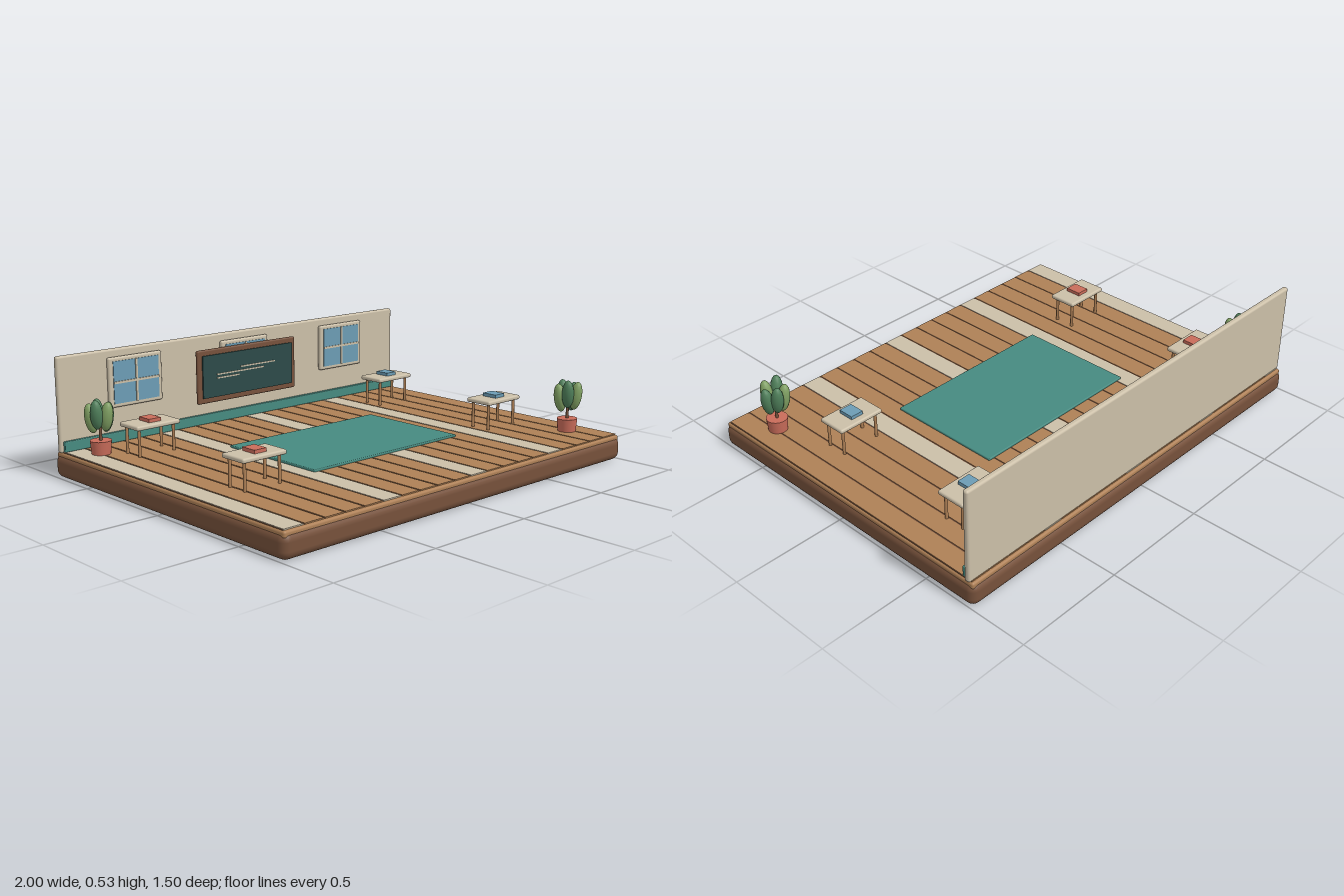
import * as THREE from 'three';
import { RoundedBoxGeometry } from 'three/addons/geometries/RoundedBoxGeometry.js';

const mat = (name, color) => {
  const m = new THREE.MeshStandardMaterial({ color });
  m.name = name;
  return m;
};

export function createModel() {
  const M = {
    base: mat('dark wood', 0x76513b),
    wood: mat('warm wood', 0xae8056),
    cream: mat('cream', 0xcbbfa8),
    teal: mat('teal', 0x468a80),
    blue: mat('blue', 0x6c9cb4),
    slate: mat('slate', 0x2c4a48),
    red: mat('terracotta', 0xc96c5a),
    leafDark: mat('deep green', 0x4f7f5a),
    leafLight: mat('light green', 0x7f9f62),
  };
  const model = new THREE.Group();
  model.name = 'classroom';

  const group = (name, x = 0, y = 0, z = 0) => {
    const g = new THREE.Group();
    g.name = name;
    g.position.set(x, y, z);
    model.add(g);
    return g;
  };
  const add = (parent, name, geo, material, x, y, z) => {
    const m = new THREE.Mesh(geo, material);
    m.name = name;
    m.position.set(x, y, z);
    parent.add(m);
    return m;
  };
  const box = (parent, name, material, w, h, d, x, y, z, r = 0) =>
    add(parent, name, r ? new RoundedBoxGeometry(w, h, d, 3, r) : new THREE.BoxGeometry(w, h, d),
      material, x, y, z);

  // Base and floor slab
  box(model, 'base', M.base, 2, 0.105, 1.5, 0, 0.0525, 0, 0.035);
  box(model, 'floorSlab', M.wood, 1.98, 0.03, 1.48, 0, 0.097, 0, 0.01);
  box(model, 'plankGaps', M.base, 1.966, 0.004, 1.45, 0, 0.1125, 0);

  // Planks, every fifth one pale
  const floor = group('floorPlanks');
  const pitch = 0.0985;
  for (let i = 0; i < 20; i++) {
    box(floor, 'plank', i % 5 ? M.wood : M.cream, pitch - 0.007, 0.008, 1.455,
      (i - 9.5) * pitch, 0.113, 0);
  }

  box(model, 'rug', M.teal, 0.846, 0.012, 0.54, 0, 0.121, 0, 0.004);

  // Back wall and skirting
  box(model, 'backWall', M.cream, 1.99, 0.417, 0.026, 0, 0.3185, -0.713, 0.01);
  box(model, 'skirting', M.teal, 1.966, 0.046, 0.018, 0, 0.139, -0.689, 0.004);

  // Windows
  for (const x of [-0.615, 0, 0.615]) {
    const w = group('window', x, 0.382, -0.69);
    box(w, 'windowFrame', M.cream, 0.278, 0.222, 0.022, 0, 0, 0, 0.009);
    box(w, 'glass', M.blue, 0.236, 0.188, 0.006, 0, 0, 0.011);
    box(w, 'verticalBar', M.cream, 0.01, 0.188, 0.006, 0, 0, 0.015);
    box(w, 'horizontalBar', M.cream, 0.236, 0.01, 0.006, 0, 0, 0.015);
  }

  // Blackboard with chalk strokes
  const board = group('blackboard', 0, 0.342, -0.671);
  box(board, 'boardFrame', M.base, 0.586, 0.25, 0.018, 0, 0, 0, 0.008);
  box(board, 'boardSurface', M.slate, 0.536, 0.198, 0.009, 0, 0, 0.011);
  for (const [x0, x1, y] of [[-0.19, 0.09, 0.006], [-0.19, -0.06, -0.011], [-0.05, 0.158, 0.025]]) {
    box(board, 'chalkLine', M.cream, x1 - x0, 0.006, 0.004, (x0 + x1) / 2, y, 0.017);
  }

  // Tables with books
  const legGeo = new THREE.CylinderGeometry(0.007, 0.007, 0.122, 10);
  for (const sx of [-1, 1]) {
    for (const z of [-0.45, 0.243]) {
      const t = group('table', sx * 0.709, 0, z);
      box(t, 'tableTop', M.cream, 0.22, 0.02, 0.134, 0, 0.243, 0, 0.008);
      for (const lx of [-0.087, 0.087]) {
        for (const lz of [-0.045, 0.045]) add(t, 'tableLeg', legGeo, M.wood, lx, 0.176, lz);
      }
      box(t, 'book', sx < 0 ? M.red : M.blue, 0.06, 0.015, 0.074, 0, 0.2605, 0);
    }
  }

  // Potted plants
  const potGeo = new THREE.CylinderGeometry(0.046, 0.041, 0.058, 24);
  const stemGeo = new THREE.CylinderGeometry(0.006, 0.007, 0.08, 10);
  const leafGeo = new THREE.SphereGeometry(1, 16, 12);
  for (const [x, z] of [[-0.88, -0.567], [0.872, 0.54]]) {
    const p = group('plant', x, 0, z);
    add(p, 'pot', potGeo, M.red, 0, 0.146, 0);
    add(p, 'stem', stemGeo, M.base, 0, 0.21, 0);
    for (let i = 0; i < 5; i++) {
      const a = (i * Math.PI * 2) / 5;
      const leaf = add(p, 'leaf', leafGeo, i % 2 ? M.leafLight : M.leafDark,
        Math.cos(a) * 0.037, 0.27 + (i % 3) * 0.011, Math.sin(a) * 0.037);
      leaf.scale.set(0.027, 0.065, 0.027);
      leaf.rotation.set(Math.sin(a) * 0.15, 0, -Math.cos(a) * 0.15);
    }
  }
  return model;
}
